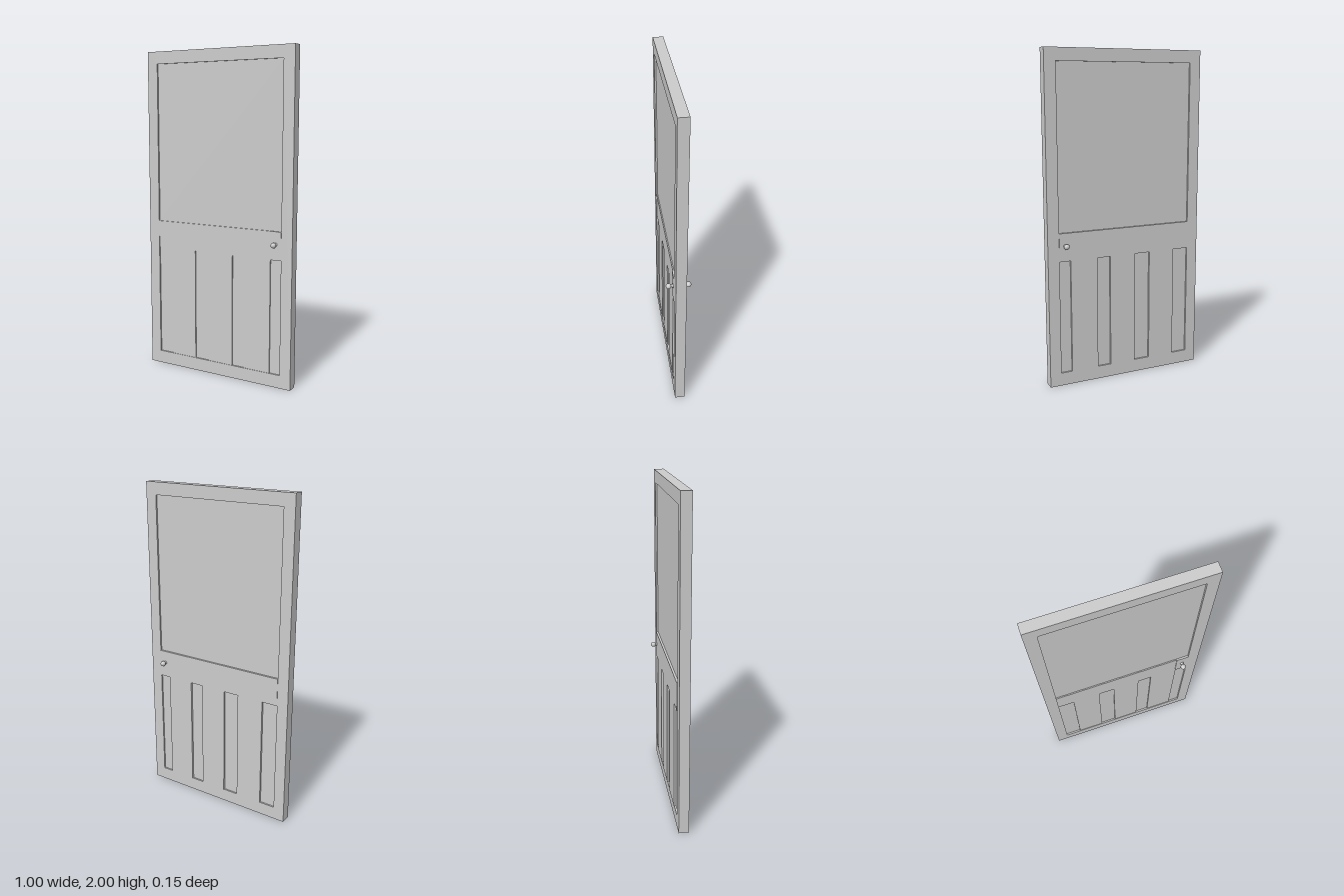
import * as THREE from 'three';

const material = new THREE.MeshStandardMaterial({ color: 0xcccccc });

export function createModel() {
  const door = new THREE.Group();
  door.name = 'door';

  const add = (name, geometry, parent = door) => {
    const mesh = new THREE.Mesh(geometry, material);
    mesh.name = name;
    parent.add(mesh);
    return mesh;
  };

  // Box given by its limits on each axis
  const block = (name, x0, x1, y0, y1, z0, z1) => {
    const mesh = add(name, new THREE.BoxGeometry(x1 - x0, y1 - y0, z1 - z0));
    mesh.position.set((x0 + x1) / 2, (y0 + y1) / 2, (z0 + z1) / 2);
    return mesh;
  };

  const rect = (path, x0, x1, y0, y1) => {
    path.moveTo(x0, y0);
    path.lineTo(x1, y0);
    path.lineTo(x1, y1);
    path.lineTo(x0, y1);
    path.closePath();
    return path;
  };

  // Outer frame with one large opening
  const half = 0.031;
  const outline = rect(new THREE.Shape(), -0.5, 0.5, 0, 2);
  outline.holes.push(rect(new THREE.Path(), -0.43, 0.43, 0.08, 1.925));
  const frame = new THREE.ExtrudeGeometry(outline, { depth: half * 2, bevelEnabled: false });
  frame.translate(0, 0, -half);
  add('frame', frame);

  // Thin panels set back inside the frame
  block('upperPanel', -0.43, 0.43, 0.945, 1.925, -0.021, 0.021);
  block('lowerPanel', -0.43, 0.43, 0.08, 0.775, -0.021, 0.021);

  // Middle rail and upright boards, standing slightly proud at the back
  const back = -0.034, front = 0.028;
  block('middleRail', -0.43, 0.43, 0.775, 0.945, back, front);
  for (const [x0, x1] of [[-0.33, -0.16], [-0.06, 0.105], [0.19, 0.36]]) {
    block('uprightBoard', x0, x1, 0.08, 0.775, back, front);
  }

  // Lock plate on the front of the rail
  block('lockPlate', 0.355, 0.43, 0.775, 0.945, 0.02, 0.032);

  // Knobs: a flared stem ending in a ball, mirrored front and back
  const profile = [[0.013, 0.025], [0.012, 0.033], [0.008, 0.037], [0.008, 0.046]]
    .map(([r, h]) => new THREE.Vector2(r, h));
  for (const turn of [1, -1]) {
    const knob = new THREE.Group();
    knob.name = turn > 0 ? 'frontKnob' : 'backKnob';
    knob.position.set(0.393, 0.868, 0);
    knob.rotation.x = turn * Math.PI / 2;
    add('knobStem', new THREE.LatheGeometry(profile, 24), knob);
    add('knobBall', new THREE.SphereGeometry(0.0165, 24, 16), knob).position.y = 0.058;
    door.add(knob);
  }

  return door;
}
